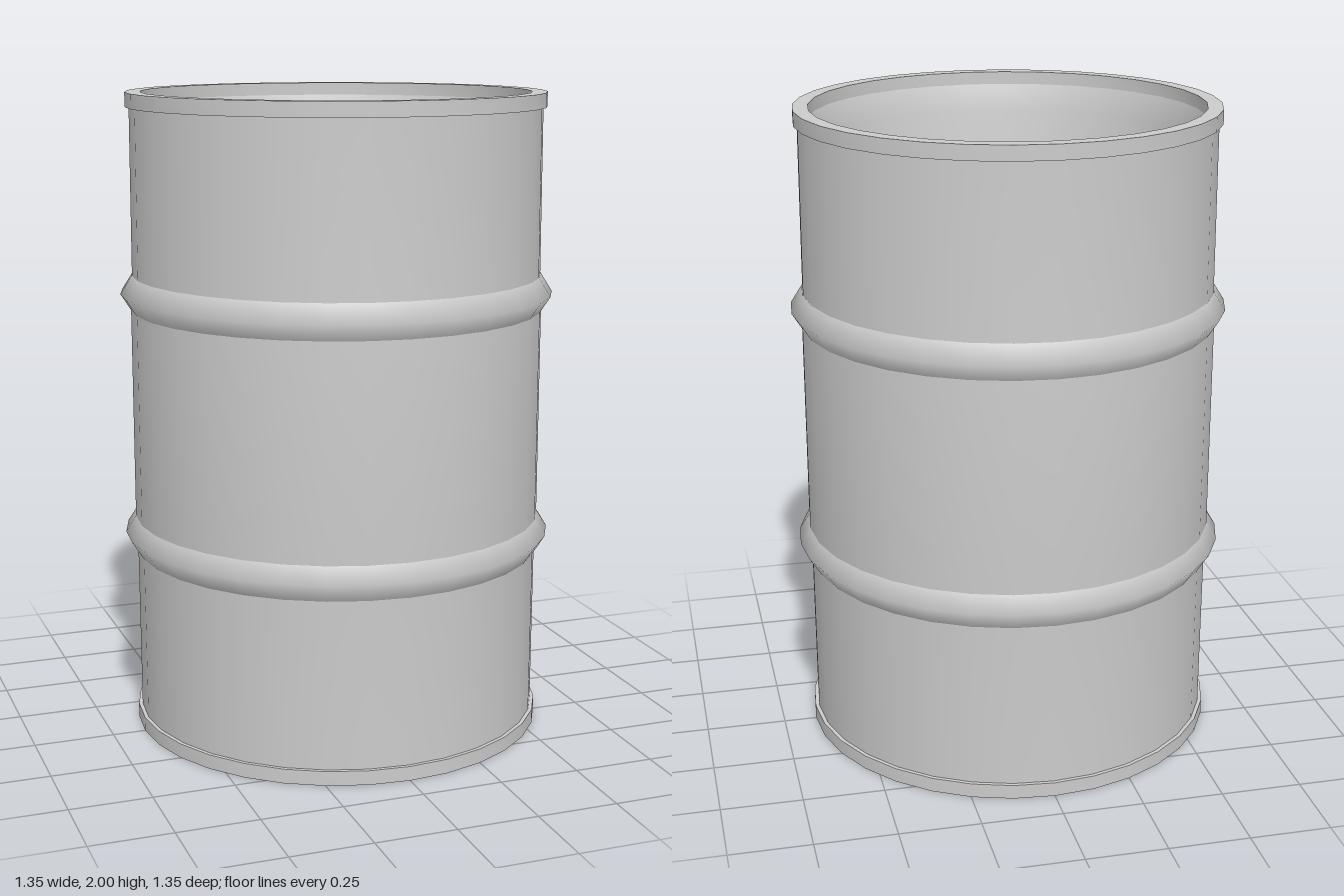
import * as THREE from 'three';
import { toCreasedNormals } from 'three/addons/utils/BufferGeometryUtils.js';

const SIDES = 32;
const material = new THREE.MeshStandardMaterial({ color: 0xcccccc, side: THREE.DoubleSide });

// Turn a profile of [radius, y] points; edges sharper than the crease angle stay hard
function turned(name, profile, crease = 0.6) {
  const points = profile.map(([r, y]) => new THREE.Vector2(r, y));
  const geometry = toCreasedNormals(new THREE.LatheGeometry(points, SIDES), crease);
  const mesh = new THREE.Mesh(geometry, material);
  mesh.name = name;
  return mesh;
}

export function createModel() {
  const drum = new THREE.Group();
  drum.name = 'openDrum';

  // Outer wall, very slightly fuller between the hoops
  drum.add(turned('outerWall', [
    [0.635, 0.04], [0.637, 0.57], [0.642, 0.68], [0.642, 1.33], [0.637, 1.44], [0.635, 1.96],
  ]));

  // Inner wall, narrowing just below the rim
  drum.add(turned('innerWall', [
    [0.6, 1.96], [0.572, 1.88], [0.572, 0.05],
  ]));

  // Rolled rims at both ends
  for (const [name, y] of [['bottomRim', 0], ['topRim', 1.955]]) {
    drum.add(turned(name, [
      [0.6, y], [0.647, y], [0.647, y + 0.045], [0.6, y + 0.045], [0.6, y],
    ]));
  }

  // Pressed hoops, ridged on the outside and the inside
  for (const [name, y] of [['lowerHoop', 0.625], ['upperHoop', 1.385]]) {
    const hoop = new THREE.Group();
    hoop.name = name;
    hoop.add(
      turned('outerRidge', [[0.638, y - 0.057], [0.674, y], [0.638, y + 0.057]], 1.3),
      turned('innerRidge', [[0.572, y + 0.057], [0.537, y], [0.572, y - 0.057]], 1.3),
    );
    drum.add(hoop);
  }

  // Floor plate, set up inside the bottom rim
  const floor = new THREE.Mesh(new THREE.CylinderGeometry(0.602, 0.602, 0.025, SIDES), material);
  floor.name = 'floor';
  floor.position.y = 0.0425;
  drum.add(floor);

  return drum;
}
